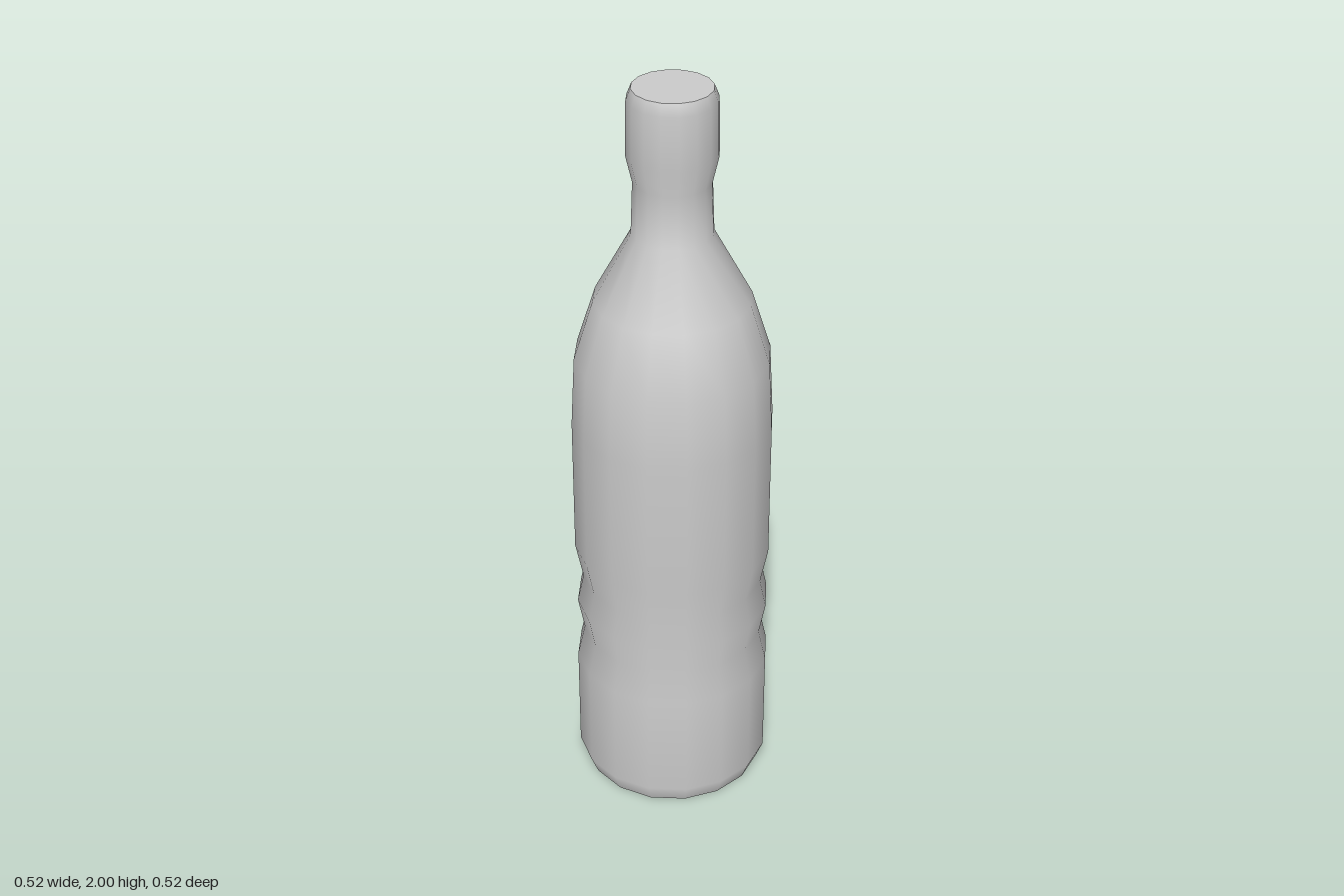
import * as THREE from 'three';

const SIDES = 16;

// Outline as [radius, height], from base to mouth
const PROFILE = [
  [0.24, 0], [0.26, 0.05], [0.26, 0.35],                // base
  [0.24, 0.44], [0.257, 0.53], [0.24, 0.61],            // grip grooves
  [0.26, 0.71], [0.26, 1.09], [0.25, 1.28],             // body
  [0.2, 1.44], [0.103, 1.62],                           // shoulder
  [0.098, 1.76], [0.114, 1.83], [0.112, 1.97], [0.1, 2] // neck and collar
];

export function createModel() {
  const model = new THREE.Group();
  model.name = 'bottle';
  const material = new THREE.MeshStandardMaterial({ color: 0xcccccc });

  const add = (name, geometry) => {
    const mesh = new THREE.Mesh(geometry, material);
    mesh.name = name;
    model.add(mesh);
    return mesh;
  };

  // Smooth turned wall
  const points = PROFILE.map(([r, y]) => new THREE.Vector2(r, y));
  add('bottleWall', new THREE.LatheGeometry(points, SIDES));

  // Flat discs closing both ends with a sharp rim
  const addDisc = (name, [radius, y], facing) => {
    const disc = add(name, new THREE.CircleGeometry(radius, SIDES));
    disc.rotation.x = -facing * Math.PI / 2;
    disc.position.y = y;
  };
  addDisc('bottleBase', PROFILE[0], -1);
  addDisc('bottleTop', PROFILE[PROFILE.length - 1], 1);

  return model;
}
